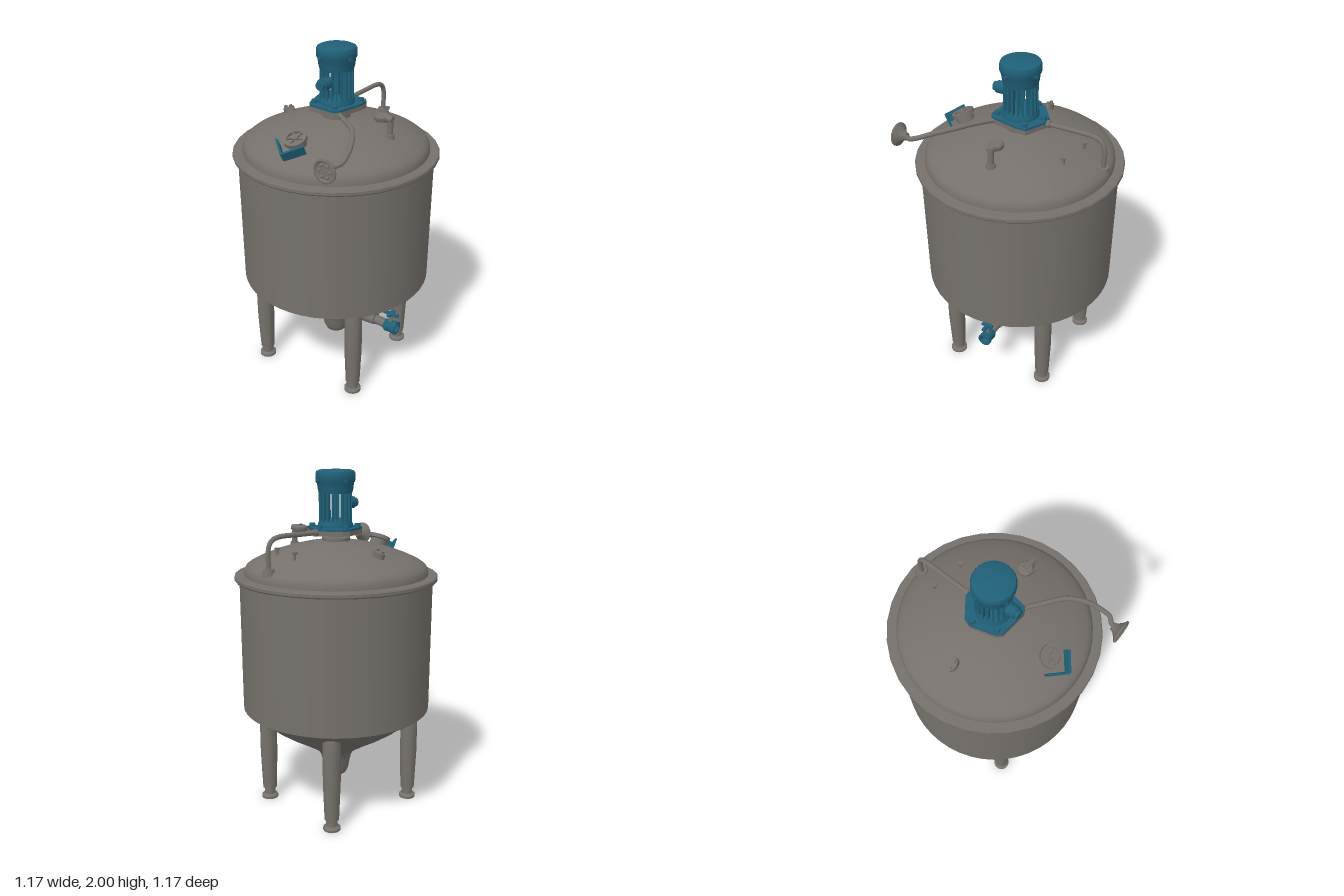
import * as THREE from 'three';
import { toCreasedNormals } from 'three/addons/utils/BufferGeometryUtils.js';

const V = (x, y, z) => new THREE.Vector3(x, y, z);

export function createModel() {
  const steel = new THREE.MeshStandardMaterial({ color: 0x75706b });
  steel.name = 'brushed steel';
  const teal = new THREE.MeshStandardMaterial({ color: 0x1f6078 });
  teal.name = 'teal paint';
  const root = new THREE.Group();
  root.name = 'mixingTank';

  const add = (name, geometry, material, parent = root) => {
    const m = new THREE.Mesh(geometry, material);
    m.name = name;
    parent.add(m);
    return m;
  };
  const group = (name, x = 0, y = 0, z = 0) => {
    const g = new THREE.Group();
    g.name = name;
    g.position.set(x, y, z);
    root.add(g);
    return g;
  };
  // Turned part: [radius, height] points from bottom to top
  const lathe = (pts, seg = 24) => toCreasedNormals(
    new THREE.LatheGeometry(pts.map(p => new THREE.Vector2(p[0], p[1])), seg), 0.6);
  // Straight round part between two points
  const rod = (name, a, b, r1, r2, material, parent = root, seg = 14) => {
    const m = add(name, new THREE.CylinderGeometry(r2, r1, a.distanceTo(b), seg), material, parent);
    m.position.copy(a).lerp(b, 0.5);
    m.quaternion.setFromUnitVectors(V(0, 1, 0), b.clone().sub(a).normalize());
    return m;
  };
  const pipe = (name, pts, r, material) => add(name,
    new THREE.TubeGeometry(new THREE.CatmullRomCurve3(pts, false, 'centripetal'), 36, r, 10), material);
  // Height of the lid surface at a given radius
  const lid = [[0.53, 1.42], [0.528, 1.445], [0.515, 1.468], [0.49, 1.486], [0.43, 1.515],
    [0.35, 1.546], [0.27, 1.571], [0.19, 1.59], [0.1, 1.605], [0, 1.61]];

  // Vessel: conical bottom with outlet boss, shell, rim and lid
  add('coneBottom', lathe([[0, 0.145], [0.04, 0.15], [0.062, 0.168], [0.076, 0.2], [0.085, 0.25],
    [0.095, 0.29], [0.112, 0.318], [0.15, 0.348], [0.23, 0.4], [0.32, 0.455], [0.4, 0.51],
    [0.48, 0.577], [0.53, 0.602], [0.556, 0.62]], 48), steel);
  add('shell', new THREE.CylinderGeometry(0.556, 0.556, 0.78, 48, 1, true), steel).position.y = 1.01;
  add('rim', lathe([[0.55, 1.388], [0.58, 1.388], [0.585, 1.395], [0.585, 1.411],
    [0.58, 1.418], [0.525, 1.42]], 32), steel);
  add('lid', lathe(lid, 48), steel);

  // Four legs with levelling feet
  for (const [x, z] of [[0.32, 0.28], [-0.32, 0.31], [0.275, -0.31], [-0.285, -0.31]]) {
    const leg = group('leg', x, 0, z);
    add('legTube', lathe([[0, 0.065], [0.042, 0.065], [0.051, 0.3], [0.051, 0.53], [0.047, 0.56],
      [0.03, 0.578], [0, 0.584]], 18), steel, leg);
    add('foot', lathe([[0, 0], [0.05, 0], [0.05, 0.014], [0.034, 0.026], [0.032, 0.066]], 18), steel, leg);
  }

  // Motor mount on the lid
  add('mountNeck', lathe([[0.08, 1.595], [0.08, 1.625], [0.05, 1.628], [0.05, 1.648]]), steel);
  const outline = [[-0.035, -0.16], [0.02, -0.16], [0.13, -0.105], [0.133, -0.05], [0.1, 0.12],
    [0.07, 0.135], [-0.09, 0.12], [-0.115, 0.09], [-0.152, -0.04], [-0.137, -0.085]];
  const plate = (name, y, depth, material) => add(name, new THREE.ExtrudeGeometry(
    new THREE.Shape(outline.map(p => new THREE.Vector2(p[0], p[1]))), { depth, bevelEnabled: false })
    .rotateX(Math.PI / 2), material).position.y = y;
  plate('mountPlate', 1.672, 0.026, steel);
  plate('motorFlange', 1.684, 0.012, teal);
  for (const [x, z] of [[-0.008, -0.138], [0.107, -0.085], [0.062, 0.105], [-0.088, 0.083], [-0.128, -0.045]]) {
    rod('flangeBolt', V(x, 1.68, z), V(x, 1.703, z), 0.019, 0.016, teal, root, 8);
  }

  // Motor: base ring, cage of fins, cap, terminal box and cap screws
  const motor = group('motor', 0, 0, -0.005);
  add('motorBase', lathe([[0, 1.682], [0.1, 1.682], [0.1, 1.7], [0.088, 1.725], [0, 1.725]]), teal, motor);
  add('motorShaft', new THREE.CylinderGeometry(0.018, 0.018, 0.2, 10), teal, motor).position.y = 1.8;
  const fins = 20;
  for (let i = 0; i < fins; i++) {
    const a = (i / fins) * Math.PI * 2;
    const fin = add('fin', new THREE.BoxGeometry(0.02, 0.18, 0.012), teal, motor);
    fin.position.set(Math.cos(a) * 0.084, 1.805, Math.sin(a) * 0.084);
    fin.rotation.y = -a;
  }
  add('motorCap', lathe([[0, 1.872], [0.094, 1.872], [0.1, 1.895], [0.104, 1.93], [0.112, 1.945],
    [0.112, 1.978], [0.106, 1.992], [0.09, 1.999], [0, 2]]), teal, motor);
  rod('terminalBox', V(0, 1.812, 0.075), V(0, 1.812, 0.14), 0.034, 0.034, teal, motor);
  rod('terminalCover', V(0, 1.812, 0.132), V(0, 1.812, 0.16), 0.027, 0.025, teal, motor);
  for (const a of [0.25, 1.9, 3.4, 5]) {
    const d = V(Math.cos(a), 0, Math.sin(a));
    rod('capScrew', d.clone().multiplyScalar(0.09).setY(1.94), d.clone().multiplyScalar(0.118).setY(1.94),
      0.013, 0.012, teal, motor, 8);
  }

  // Rear pipe returning to the lid
  pipe('rearPipe', [V(-0.008, 1.662, -0.12), V(-0.008, 1.665, -0.28), V(-0.006, 1.665, -0.43),
    V(-0.004, 1.65, -0.475), V(-0.003, 1.615, -0.497), V(-0.003, 1.47, -0.5)], 0.0135, steel);
  rod('rearPipeCollar', V(-0.008, 1.662, -0.15), V(-0.008, 1.664, -0.18), 0.02, 0.02, steel);
  rod('rearPipeFlange', V(-0.003, 1.465, -0.5), V(-0.003, 1.502, -0.5), 0.038, 0.03, steel);

  // Front pipe ending in a spray rose
  pipe('sprayPipe', [V(0.07, 1.66, 0.09), V(0.18, 1.664, 0.175), V(0.28, 1.658, 0.255),
    V(0.335, 1.635, 0.34), V(0.362, 1.6, 0.42), V(0.366, 1.578, 0.475), V(0.345, 1.568, 0.5),
    V(0.337, 1.565, 0.53)], 0.0135, steel);
  const rose = group('sprayRose', 0.336, 1.565, 0.513);
  rose.rotation.x = Math.PI / 2;
  add('roseBell', lathe([[0, 0], [0.02, 0], [0.026, 0.018], [0.05, 0.042], [0.066, 0.052],
    [0.066, 0.06], [0.055, 0.063], [0.048, 0.056], [0, 0.056]]), steel, rose);
  for (let i = 0; i < 6; i++) {
    const a = (i / 6) * Math.PI * 2;
    add('roseNozzle', new THREE.SphereGeometry(0.01, 8, 6), steel, rose)
      .position.set(Math.cos(a) * 0.034, 0.056, Math.sin(a) * 0.034);
  }

  // Sight glass with spokes, tilted with the lid
  const glass = group('sightGlass', 0, 1.55, 0.352);
  glass.rotation.x = 0.42;
  add('glassRing', lathe([[0.05, -0.03], [0.05, 0.025], [0.064, 0.028], [0.064, 0.05], [0.046, 0.05],
    [0.046, 0.036], [0, 0.036]]), steel, glass);
  add('glassHub', new THREE.CylinderGeometry(0.016, 0.018, 0.02, 10), steel, glass).position.y = 0.042;
  for (let i = 0; i < 3; i++) {
    const spoke = add('glassSpoke', new THREE.BoxGeometry(0.095, 0.009, 0.01), steel, glass);
    spoke.position.y = 0.041;
    spoke.rotation.y = (i * Math.PI) / 3 + 0.3;
  }

  // V-shaped deflector below the sight glass
  const deflector = group('deflector', 0, 1.528, 0.435);
  deflector.rotation.x = 0.5;
  for (const s of [-1, 1]) {
    const wing = add('deflectorWing', new THREE.BoxGeometry(0.122, 0.056, 0.012), teal, deflector);
    wing.position.set(s * 0.044, 0.012, 0);
    wing.rotation.y = s * 0.75;
  }

  // Vent with an overhanging head on the left of the lid
  const vent = group('vent', 0, 0, -0.018);
  rod('ventStem', V(0.34, 1.53, 0), V(0.34, 1.648, 0), 0.017, 0.017, steel, vent);
  rod('ventFoot', V(0.34, 1.535, 0), V(0.34, 1.565, 0), 0.028, 0.024, steel, vent);
  rod('ventArm', V(0.28, 1.65, 0), V(0.355, 1.65, 0), 0.027, 0.017, steel, vent);
  add('ventHead', lathe([[0, 1.632], [0.036, 1.632], [0.042, 1.642], [0.042, 1.658], [0.034, 1.667],
    [0, 1.67]]), steel, vent).position.x = 0.286;

  // Lug on the right of the lid
  const lug = group('lug', -0.335, 1.553, -0.006);
  lug.rotation.z = 0.33;
  const lugBase = add('lugBase', new THREE.CylinderGeometry(0.038, 0.04, 0.03, 16), steel, lug);
  lugBase.scale.z = 0.62;
  lugBase.position.y = 0.012;
  for (const x of [-0.02, 0.018]) {
    add('lugBolt', new THREE.CylinderGeometry(0.01, 0.01, 0.014, 8), steel, lug).position.set(x, 0.032, 0);
  }

  // Small plugs at the back of the lid
  for (const [x, y, z] of [[-0.055, 1.54, -0.362], [0.13, 1.54, -0.33]]) {
    rod('plugStem', V(x, y, z), V(x, y + 0.035, z), 0.008, 0.008, steel);
    rod('plugHead', V(x, y + 0.03, z), V(x, y + 0.043, z), 0.014, 0.015, steel, root, 8);
  }

  // Side outlet with valve and handle
  const outlet = group('outlet', 0, 0.345, 0);
  rod('outletNeck', V(0.07, -0.015, 0), V(0.22, 0, 0), 0.022, 0.042, steel, outlet);
  rod('outletPipe', V(0.22, 0, 0), V(0.3, 0, 0), 0.042, 0.038, steel, outlet);
  rod('outletCoupling', V(0.3, -0.003, 0), V(0.375, -0.008, 0), 0.028, 0.028, steel, outlet);
  const valve = add('valveBody', lathe([[0, 0], [0.034, 0], [0.039, 0.012], [0.036, 0.05], [0.04, 0.056],
    [0.04, 0.08], [0.028, 0.08], [0.026, 0.05], [0, 0.05]]), teal, outlet);
  valve.rotation.z = -Math.PI / 2;
  valve.position.set(0.37, -0.01, 0);
  rod('valveStem', V(0.405, 0.01, 0), V(0.405, 0.08, 0), 0.013, 0.01, steel, outlet);
  add('valveHandle', new THREE.BoxGeometry(0.1, 0.013, 0.022), teal, outlet).position.set(0.405, 0.08, 0);
  add('valveCrossbar', new THREE.BoxGeometry(0.022, 0.013, 0.07), teal, outlet).position.set(0.405, 0.08, 0);
  for (const x of [0.365, 0.445]) {
    add('handleKnob', new THREE.SphereGeometry(0.013, 10, 8), teal, outlet).position.set(x, 0.08, 0);
  }
  return root;
}
